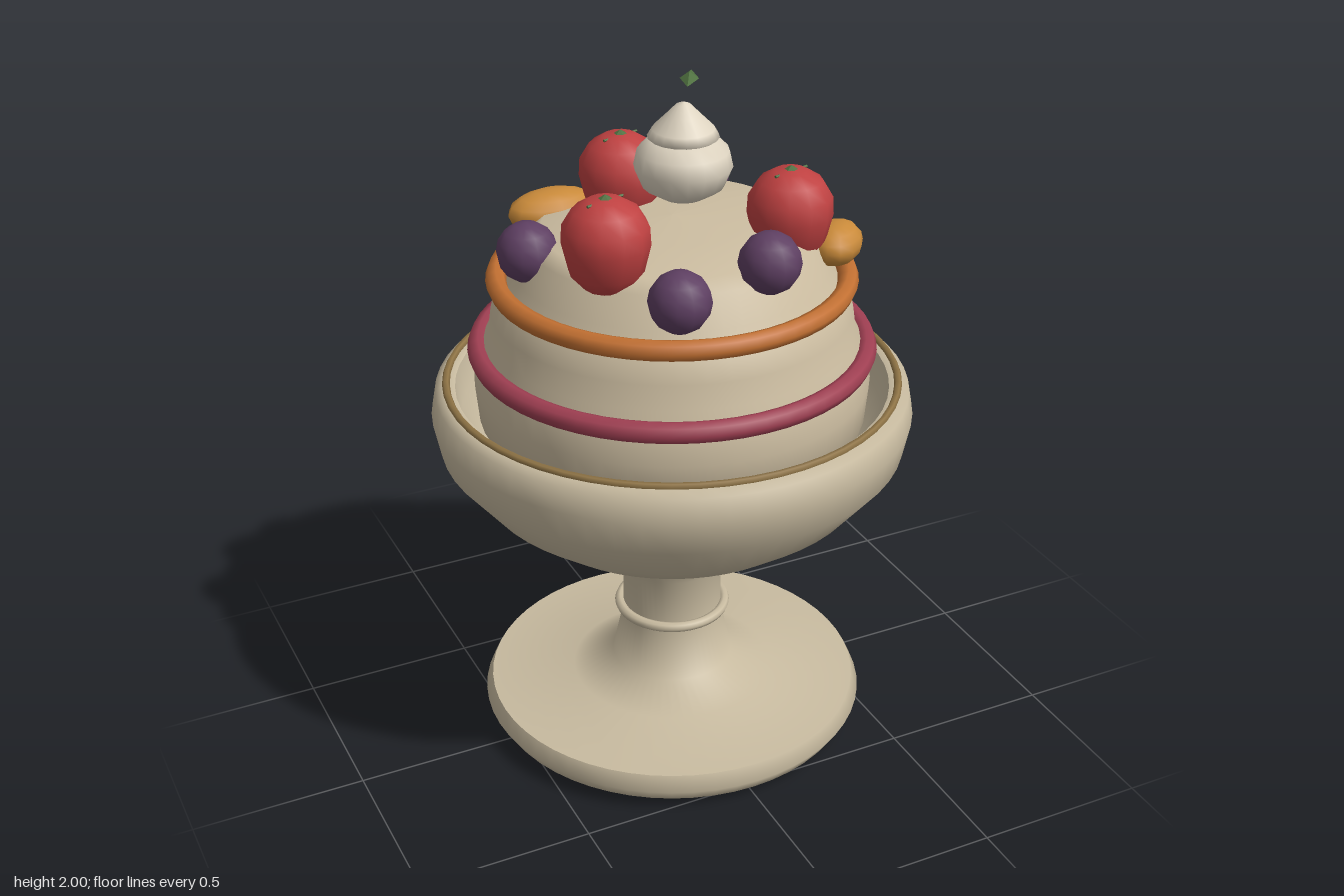
import * as THREE from 'three';
import { toCreasedNormals } from 'three/addons/utils/BufferGeometryUtils.js';

const mat = (color, extra = {}) => new THREE.MeshStandardMaterial({ color, ...extra });
const M = {
  glass: mat(0xc8bba0),
  cream: mat(0xcbbca0),
  dollop: mat(0xddd3c0),
  rim: mat(0x8f7446),
  berrySauce: mat(0x9f3f52),
  caramel: mat(0xc27032),
  strawberry: mat(0xbf4141),
  blueberry: mat(0x5e3f62),
  apricot: mat(0xc98a3a),
  leaf: mat(0x4f7040, { flatShading: true, side: THREE.DoubleSide }),
};

export function createModel() {
  const model = new THREE.Group();

  const add = (name, geometry, material, x = 0, y = 0, z = 0, parent = model) => {
    const mesh = new THREE.Mesh(geometry, material);
    mesh.name = name;
    mesh.position.set(x, y, z);
    parent.add(mesh);
    return mesh;
  };
  const lathe = (points, segments) =>
    new THREE.LatheGeometry(points.map(([r, y]) => new THREE.Vector2(r, y)), segments);
  const ring = (name, material, radius, tube, y, sides = 8) =>
    add(name, new THREE.TorusGeometry(radius, tube, sides, 56).rotateX(Math.PI / 2), material, 0, y, 0);

  // Footed dish: foot, stem, outer bowl, lip and hollow inside
  const dish = lathe([
    [0, 0.005], [0.5, 0.005], [0.545, 0.03], [0.57, 0.07], [0.55, 0.115],
    [0.3, 0.13], [0.18, 0.18], [0.147, 0.33], [0.145, 0.5], [0.2, 0.6],
    [0.3, 0.655], [0.45, 0.715], [0.56, 0.8], [0.665, 0.93], [0.685, 1.03],
    [0.672, 1.1], [0.645, 1.12], [0.615, 1.11], [0.6, 1.02], [0.5, 0.86],
    [0.3, 0.77], [0, 0.75],
  ], 56);
  add('dish', toCreasedNormals(dish, 1.0), M.glass);
  ring('stemRing', M.glass, 0.157, 0.015, 0.355);
  ring('rimBand', M.rim, 0.64, 0.011, 1.12, 6);

  // Domed cream filling with two coloured bands
  add('creamFilling', lathe([
    [0, 0.9], [0.48, 0.92], [0.55, 1.02], [0.56, 1.13], [0.545, 1.22], [0.515, 1.27],
    [0.505, 1.34], [0.48, 1.4], [0.435, 1.46], [0.4, 1.545],
    [0.36, 1.575], [0.2, 1.597], [0, 1.605],
  ], 48), M.cream);
  ring('berryBand', M.berrySauce, 0.545, 0.03, 1.225);
  ring('caramelBand', M.caramel, 0.487, 0.029, 1.432);

  // Strawberries, narrower below, each with a small green cap and stalk
  const strawberryShape = lathe([
    [0, -0.14], [0.06, -0.13], [0.1, -0.085], [0.118, -0.01],
    [0.115, 0.04], [0.088, 0.085], [0.045, 0.112], [0, 0.118],
  ], 12);
  const capShape = new THREE.ConeGeometry(0.042, 0.025, 6);
  const stalkShape = new THREE.CylinderGeometry(0.004, 0.004, 0.12, 5).rotateZ(Math.PI / 2);
  for (const [x, y, z] of [[-0.06, 1.665, -0.205], [0.27, 1.638, 0.175], [-0.29, 1.665, 0.21]]) {
    const fruit = new THREE.Group();
    fruit.name = 'strawberry';
    fruit.position.set(x, y, z);
    model.add(fruit);
    add('strawberryBody', strawberryShape, M.strawberry, 0, 0, 0, fruit);
    add('strawberryCap', capShape, M.leaf, 0, 0.114, 0, fruit);
    add('strawberryStalk', stalkShape, M.leaf, 0, 0.108, 0, fruit).rotation.y = 0.3;
  }

  // Round dark berries
  const blueberryShape = new THREE.SphereGeometry(0.085, 12, 8);
  for (const [x, y, z] of [
    [0.22, 1.58, -0.275], [-0.405, 1.55, -0.055], [0.36, 1.575, -0.04],
    [-0.16, 1.535, 0.38], [0.1, 1.595, 0.38],
  ]) add('blueberry', blueberryShape, M.blueberry, x, y, z);

  // Apricot pieces: stretched, turned ellipsoids
  const apricotShape = new THREE.SphereGeometry(1, 12, 8);
  for (const [x, y, z, length, width, turn] of [
    [-0.235, 1.56, -0.28, 0.135, 0.08, 0], [0.41, 1.52, 0.19, 0.1, 0.072, Math.PI / 4],
  ]) {
    const piece = add('apricotPiece', apricotShape, M.apricot, x, y, z);
    piece.scale.set(length, 0.06, width);
    piece.rotation.y = turn;
  }

  // Piped dollop: a round lower swirl under a pointed one
  add('dollopBase', lathe([
    [0, 1.66], [0.06, 1.668], [0.112, 1.7], [0.135, 1.755],
    [0.125, 1.8], [0.085, 1.84], [0, 1.85],
  ], 18), M.dollop, 0.02, 0, 0.028);
  add('dollopTip', lathe([
    [0, 1.8], [0.07, 1.815], [0.098, 1.838], [0.085, 1.86],
    [0.045, 1.9], [0.02, 1.926], [0, 1.934],
  ], 18), M.dollop, 0.02, 0, 0.028);

  // Diamond leaf with a raised middle, above the dollop
  const leaf = add('topLeaf', new THREE.ConeGeometry(1, 1, 4), M.leaf, 0.055, 1.991, -0.008);
  leaf.scale.set(0.026, 0.018, 0.071);
  leaf.rotation.y = -0.53;

  return model;
}
